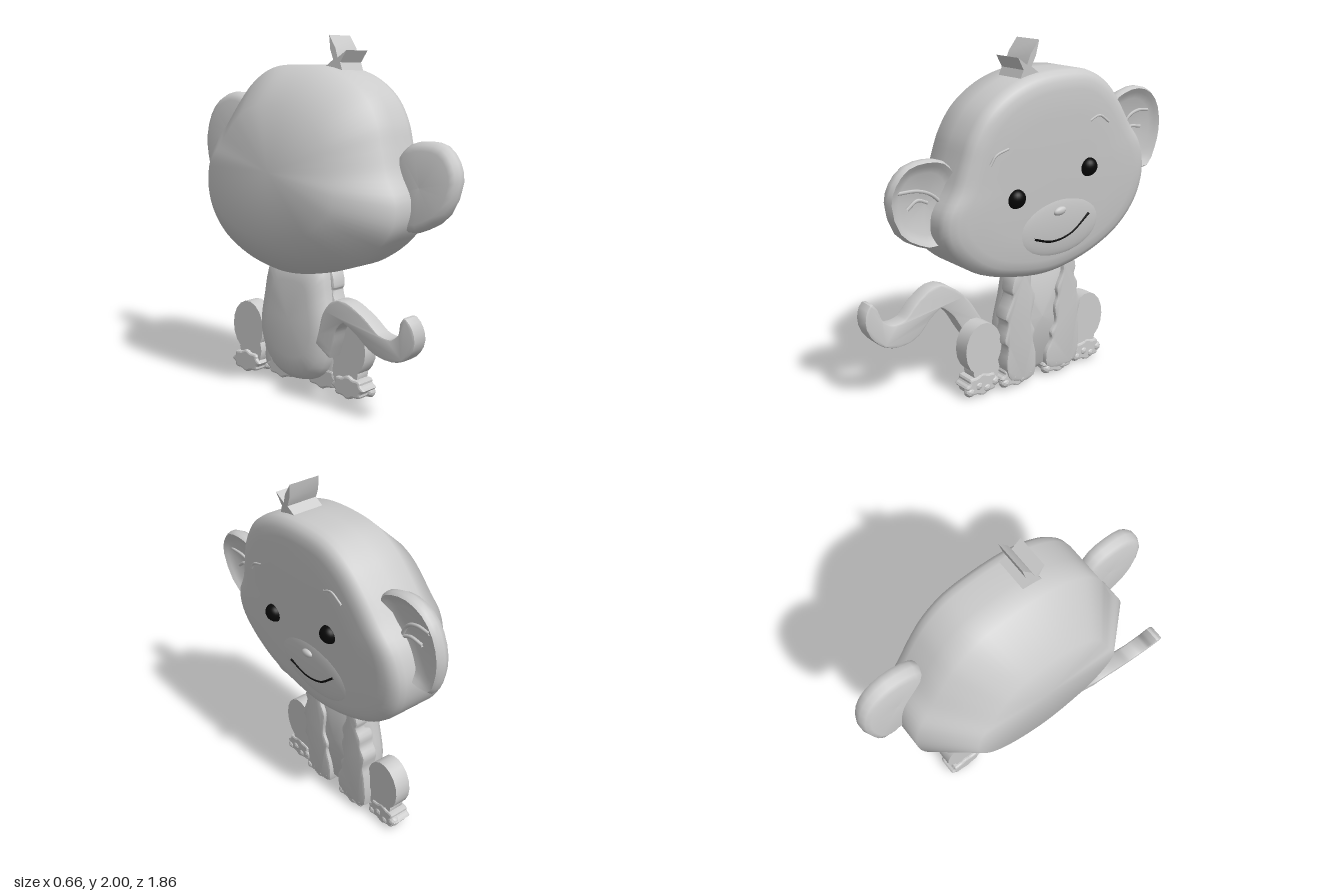
import * as THREE from 'three';
import { toCreasedNormals } from 'three/addons/utils/BufferGeometryUtils.js';

const grey = new THREE.MeshStandardMaterial({ color: 0xcccccc, side: THREE.DoubleSide });
const black = new THREE.MeshStandardMaterial({ color: 0x080808 });

// Working axes: x = across the face, y = up, z = towards the face's front.
const v2 = (list) => list.map(([x, y]) => new THREE.Vector2(x, y));

function crease(geo, angle) {
  geo.scale(50, 50, 50);
  const out = toCreasedNormals(geo, angle);
  return out.scale(0.02, 0.02, 0.02);
}

function add(parent, name, geo, mat = grey) {
  const mesh = new THREE.Mesh(geo, mat);
  mesh.name = name;
  parent.add(mesh);
}

// Leans a geometry forward with height, keeping it level at y = pivot
function lean(geo, slope, pivot) {
  geo.applyMatrix4(new THREE.Matrix4().makeShear(0, 0, 0, slope, 0, 0));
  return geo.translate(0, 0, -slope * pivot);
}

// Smooth closed outline, always counter-clockwise
function outline(list, n) {
  const curve = new THREE.CatmullRomCurve3(list.map(([x, y]) => new THREE.Vector3(x, y, 0)), true);
  const pts = curve.getPoints(n).slice(0, n).map((p) => new THREE.Vector2(p.x, p.y));
  return THREE.ShapeUtils.isClockWise(pts) ? pts.reverse() : pts;
}

// Ellipse with an optional scalloped edge
function ellipse(cx, cy, rx, ry, n, scallop = 0) {
  return Array.from({ length: n }, (_, i) => {
    const a = (i / n) * Math.PI * 2, k = 1 - scallop + scallop * Math.cos(a * 8);
    return new THREE.Vector2(cx + rx * k * Math.cos(a), cy + ry * k * Math.sin(a));
  });
}

// Stacks scaled copies of an outline from back to front: rings = [scale, depth, height scale]
function loft(pts, [cx, cy], rings, angle) {
  const pos = [], index = [], n = pts.length;
  rings.forEach(([s, z, sy = s]) => pts.forEach((p) => pos.push(cx + (p.x - cx) * s, cy + (p.y - cy) * sy, z)));
  for (let i = 0; i < rings.length - 1; i++) {
    for (let j = 0; j < n; j++) {
      const k = (j + 1) % n, a = i * n + j, b = i * n + k;
      index.push(a, b, a + n, b, b + n, a + n);
    }
  }
  const geo = new THREE.BufferGeometry();
  geo.setAttribute('position', new THREE.Float32BufferAttribute(pos, 3));
  geo.setIndex(index);
  return crease(geo, angle);
}

function slab(pts, z0, z1, bevel = 0, angle = 0.5) {
  const geo = new THREE.ExtrudeGeometry(new THREE.Shape(pts), {
    depth: z1 - z0 - 2 * bevel, bevelEnabled: bevel > 0, bevelSize: bevel,
    bevelThickness: bevel, bevelOffset: -bevel, bevelSegments: 2,
  });
  geo.translate(0, 0, z0 + bevel);
  return crease(geo, angle);
}

function line(list, z, r) {
  const curve = new THREE.CatmullRomCurve3(list.map(([x, y]) => new THREE.Vector3(x, y, z)));
  return new THREE.TubeGeometry(curve, 20, r, 6);
}

function ball([x, y, z], [rx, ry, rz], turn = 0) {
  return new THREE.SphereGeometry(1, 24, 16).scale(rx, ry, rz).rotateZ(turn).translate(x, y, z);
}

function buildHead() {
  const head = new THREE.Group();
  head.name = 'head';
  const cy = 1.26;
  // Skull: flat back plate, sloping sides, straight band, rounded face edge
  const skull = outline([[0.07, 1.84], [0.26, 1.82], [0.4, 1.74], [0.5, 1.63], [0.6, 1.49], [0.7, 1.36],
    [0.74, 1.19], [0.7, 1.02], [0.58, 0.87], [0.39, 0.76], [0.18, 0.7], [0.02, 0.685], [-0.19, 0.71],
    [-0.4, 0.77], [-0.56, 0.88], [-0.65, 1.0], [-0.66, 1.13], [-0.59, 1.27], [-0.55, 1.4],
    [-0.51, 1.53], [-0.43, 1.66], [-0.3, 1.76], [-0.14, 1.82]], 96);
  add(head, 'skull', loft(skull, [0.04, cy], [[0.001, -0.295], [0.66, -0.294, 0.62], [1, -0.07], [1, 0.06], [1, 0.19],
    [0.99, 0.225], [0.955, 0.252], [0.9, 0.268], [0.82, 0.276], [0.6, 0.281], [0.3, 0.284], [0.001, 0.285]], 1.2));

  // Muzzle, nose, mouth, eyes and brows
  add(head, 'muzzle', ball([0.08, 0.98, 0.268], [0.3, 0.18, 0.03]));
  add(head, 'nose', ball([0.058, 1.07, 0.295], [0.042, 0.024, 0.02], 0.15));
  add(head, 'mouth', line([[-0.11, 0.935], [0.02, 0.9], [0.15, 0.925], [0.275, 1.02]], 0.293, 0.007), black);
  add(head, 'rightEye', ball([-0.24, 1.186, 0.28], [0.053, 0.053, 0.05]), black);
  add(head, 'leftEye', ball([0.254, 1.29, 0.28], [0.053, 0.053, 0.05]), black);
  add(head, 'rightBrow', line([[-0.418, 1.393], [-0.385, 1.44], [-0.307, 1.467]], 0.28, 0.007));
  add(head, 'leftBrow', line([[0.244, 1.552], [0.307, 1.573], [0.38, 1.53]], 0.28, 0.007));

  // Shallow dished ears with curled folds inside
  const rim = [[0.001, 0.07], [0.8, 0.06], [0.93, 0.072], [1, 0.105], [1, 0.135],
    [0.95, 0.155], [0.85, 0.14], [0.7, 0.12], [0.001, 0.112]];
  const ears = [
    { name: 'rightEar', c: [-0.7, 1.2],
      pts: [[-0.93, 1.24], [-0.905, 1.34], [-0.83, 1.42], [-0.72, 1.44], [-0.61, 1.42], [-0.54, 1.34],
        [-0.52, 1.15], [-0.63, 0.96], [-0.75, 0.985], [-0.87, 1.07]],
      folds: [[[-0.87, 1.285], [-0.75, 1.28], [-0.67, 1.25], [-0.6, 1.19]], [[-0.81, 1.19], [-0.75, 1.23], [-0.69, 1.21]]] },
    { name: 'leftEar', c: [0.72, 1.43],
      pts: [[0.53, 1.61], [0.6, 1.66], [0.72, 1.68], [0.83, 1.64], [0.9, 1.55], [0.93, 1.41],
        [0.91, 1.28], [0.86, 1.18], [0.7, 1.19], [0.53, 1.35]],
      folds: [[[0.63, 1.39], [0.69, 1.5], [0.76, 1.53], [0.84, 1.525]], [[0.64, 1.41], [0.71, 1.44], [0.79, 1.43]]] },
  ];
  for (const e of ears) {
    add(head, e.name, loft(outline(e.pts, 20), e.c, rim, 0.9));
    for (const f of e.folds) add(head, e.name + 'Fold', line(f, 0.122, 0.01));
  }

  // Tuft of hair
  add(head, 'hairTuft', slab(v2([[-0.19, 1.8], [-0.17, 1.85], [-0.21, 1.915], [-0.15, 1.875], [-0.13, 1.93],
    [-0.08, 2.0], [-0.095, 1.92], [-0.12, 1.865], [-0.07, 1.83], [-0.08, 1.8]]), 0.01, 0.195));

  // Whole head leans slightly forward
  head.children.forEach((m) => lean(m.geometry, 0.09, cy));
  return head;
}

function buildBody() {
  const body = new THREE.Group();
  body.name = 'body';
  // Pear-shaped torso
  const torso = outline([[0.08, 0.78], [-0.1, 0.74], [-0.15, 0.55], [-0.19, 0.3], [-0.12, 0.1], [0.06, 0.04],
    [0.24, 0.1], [0.34, 0.3], [0.32, 0.55], [0.27, 0.74]], 40);
  add(body, 'torso', lean(loft(torso, [0.08, 0.4], [[0.001, -0.1], [0.6, -0.1], [0.85, -0.08], [0.97, -0.04],
    [1, 0], [0.97, 0.05], [0.85, 0.085], [0.001, 0.1]], 1.2), 0.05, 0.2));

  // Shaggy front legs
  const legs = {
    rightFrontLeg: [[-0.13, 0.7], [-0.16, 0.6], [-0.15, 0.58], [-0.2, 0.45], [-0.18, 0.42], [-0.2, 0.3], [-0.175, 0.27],
      [-0.18, 0.15], [-0.14, 0.05], [0.02, 0.04], [0.035, 0.17], [0.01, 0.28], [0.02, 0.33], [-0.01, 0.4],
      [0.01, 0.55], [-0.02, 0.62], [-0.03, 0.7]],
    leftFrontLeg: [[0.28, 0.74], [0.31, 0.66], [0.3, 0.62], [0.33, 0.56], [0.33, 0.5], [0.36, 0.44], [0.345, 0.35],
      [0.355, 0.28], [0.34, 0.06], [0.13, 0.06], [0.11, 0.16], [0.15, 0.24], [0.14, 0.28], [0.175, 0.34],
      [0.16, 0.44], [0.18, 0.5], [0.17, 0.55], [0.21, 0.64], [0.22, 0.7]],
  };
  for (const [name, pts] of Object.entries(legs)) {
    add(body, name, lean(slab(outline(pts, 60), 0, 0.105, 0.015, 0.6), 0.05, 0));
  }

  // Haunches, narrowing into the ankles
  for (const [side, cx, ax] of [['right', -0.31, -0.29], ['left', 0.46, 0.44]]) {
    add(body, side + 'Haunch', slab(ellipse(cx, 0.285, 0.122, 0.155, 18), -0.03, 0.07));
    add(body, side + 'Ankle', slab(ellipse(ax, 0.15, 0.09, 0.11, 12), -0.03, 0.065));
  }

  // Feet: scalloped blocks with a row of furry lobes
  const feet = [['rightHindFoot', -0.32, 0.115, -0.05, 0.075], ['rightFrontFoot', -0.09, 0.12, 0, 0.1],
    ['leftFrontFoot', 0.22, 0.12, 0, 0.1], ['leftHindFoot', 0.465, 0.115, -0.05, 0.075]];
  for (const [name, cx, r, z0, z1] of feet) {
    add(body, name, slab(ellipse(cx, 0.073, r, 0.068, 40, 0.08), z0, z1, 0.012, 0.3));
    for (let i = 0; i < 4; i++) {
      const toe = crease(new THREE.IcosahedronGeometry(0.032, 1), 0.2);
      toe.translate(cx + r * (i - 1.5) * 0.48, 0.045 + (i % 2) * 0.025, z1 - 0.022);
      add(body, name + 'Toe', toe);
    }
  }

  // Wavy tail: a thick ribbon that drifts backwards as it rises
  const path = new THREE.CatmullRomCurve3([[-0.23, 0.29], [-0.28, 0.38], [-0.34, 0.49], [-0.44, 0.56], [-0.55, 0.51],
    [-0.66, 0.42], [-0.78, 0.41], [-0.86, 0.48], [-0.865, 0.6]].map(([x, y]) => new THREE.Vector3(x, y, 0)));
  const n = 36, upper = [], lower = [];
  for (let i = 0; i <= n; i++) {
    const t = i / n, p = path.getPointAt(t), d = path.getTangentAt(t);
    const w = 0.064 * Math.sqrt(Math.max(0.02, 1 - Math.pow(t, 10)));
    upper.push(new THREE.Vector2(p.x - d.y * w, p.y + d.x * w));
    lower.push(new THREE.Vector2(p.x + d.y * w, p.y - d.x * w));
  }
  const tail = slab(upper.concat(lower.reverse()), -0.05, 0.05, 0.01, 0.6);
  const q = tail.attributes.position;
  for (let i = 0; i < q.count; i++) {
    const root = Math.max(0, 0.4 + q.getX(i)); // pulls the root in towards the body
    q.setZ(i, q.getZ(i) - 0.11 - 0.2 * (q.getY(i) - 0.1) - 0.05 * (-0.4 - q.getX(i)) + 0.2 * root);
  }
  add(body, 'tail', tail);
  return body;
}

export function createModel() {
  const model = new THREE.Group();
  model.name = 'monkey';
  const figure = new THREE.Group();
  figure.name = 'figure';
  figure.add(buildHead(), buildBody());
  figure.rotation.y = Math.PI / 2; // face looks along +x
  model.add(figure);
  return model;
}
